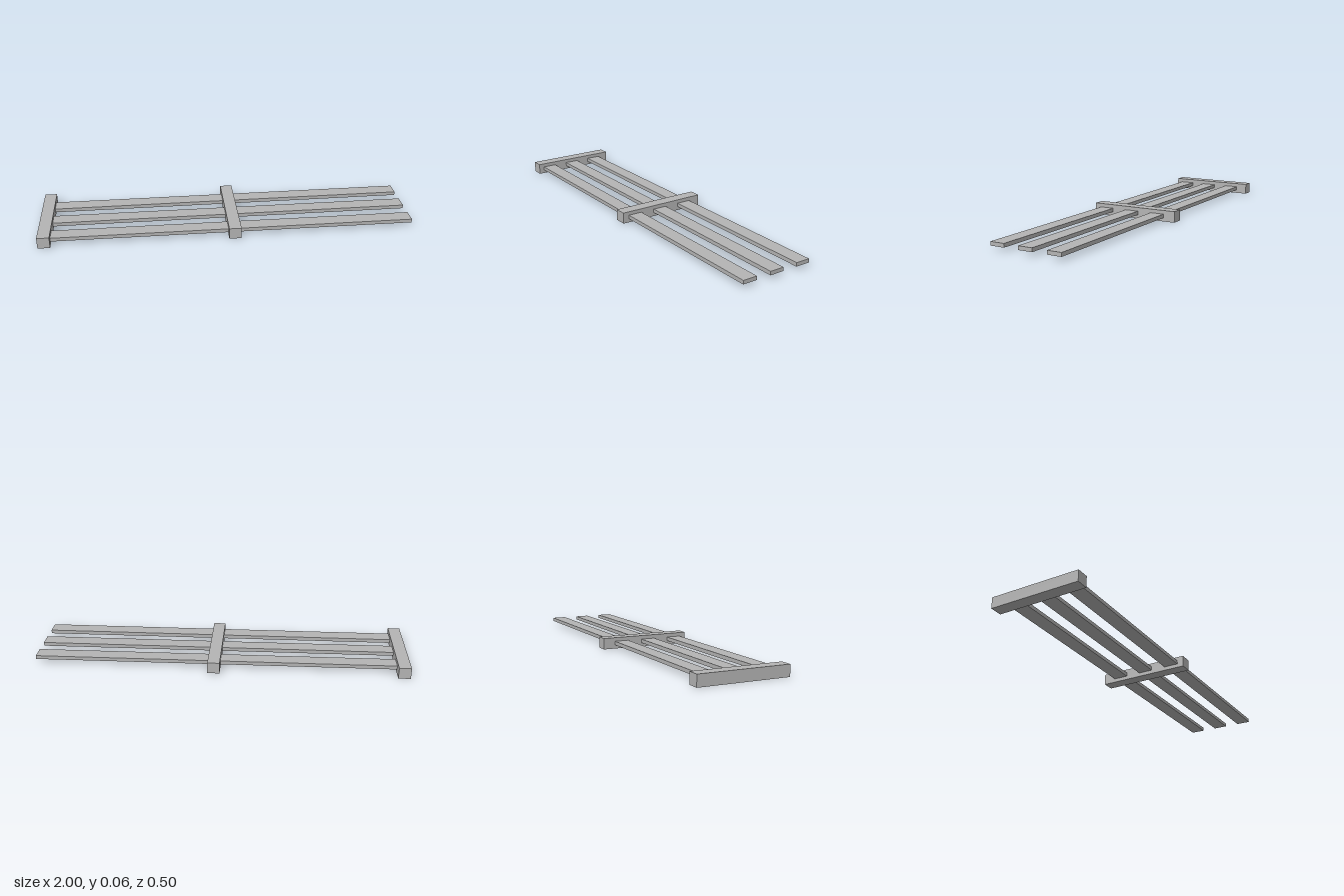
import * as THREE from 'three';

export function createModel() {
  const model = new THREE.Group();
  const wood = new THREE.MeshStandardMaterial({ color: 0xb4b4b4 });
  wood.name = 'grey wood';

  const addBox = (name, size, position) => {
    const mesh = new THREE.Mesh(new THREE.BoxGeometry(...size), wood);
    mesh.name = name;
    mesh.position.set(...position);
    model.add(mesh);
    return mesh;
  };

  // Two square posts lying across the rails
  addBox('endPost', [0.065, 0.06, 0.488], [-0.9675, 0.03, 0.002]);
  addBox('middlePost', [0.065, 0.06, 0.498], [0.0325, 0.03, 0]);

  // Three flat rails, each slightly askew: centre z at the post end and free end
  const rails = [
    ['backRail', -0.14, -0.149],
    ['centreRail', 0.018, 0.012],
    ['frontRail', 0.176, 0.173],
  ];
  const startX = -0.96, endX = 1;
  for (const [name, startZ, endZ] of rails) {
    const rail = addBox(name, [endX - startX, 0.02, 0.079],
      [(startX + endX) / 2, 0.03, (startZ + endZ) / 2]);
    rail.rotation.y = Math.atan2(startZ - endZ, endX - startX);
  }

  return model;
}
